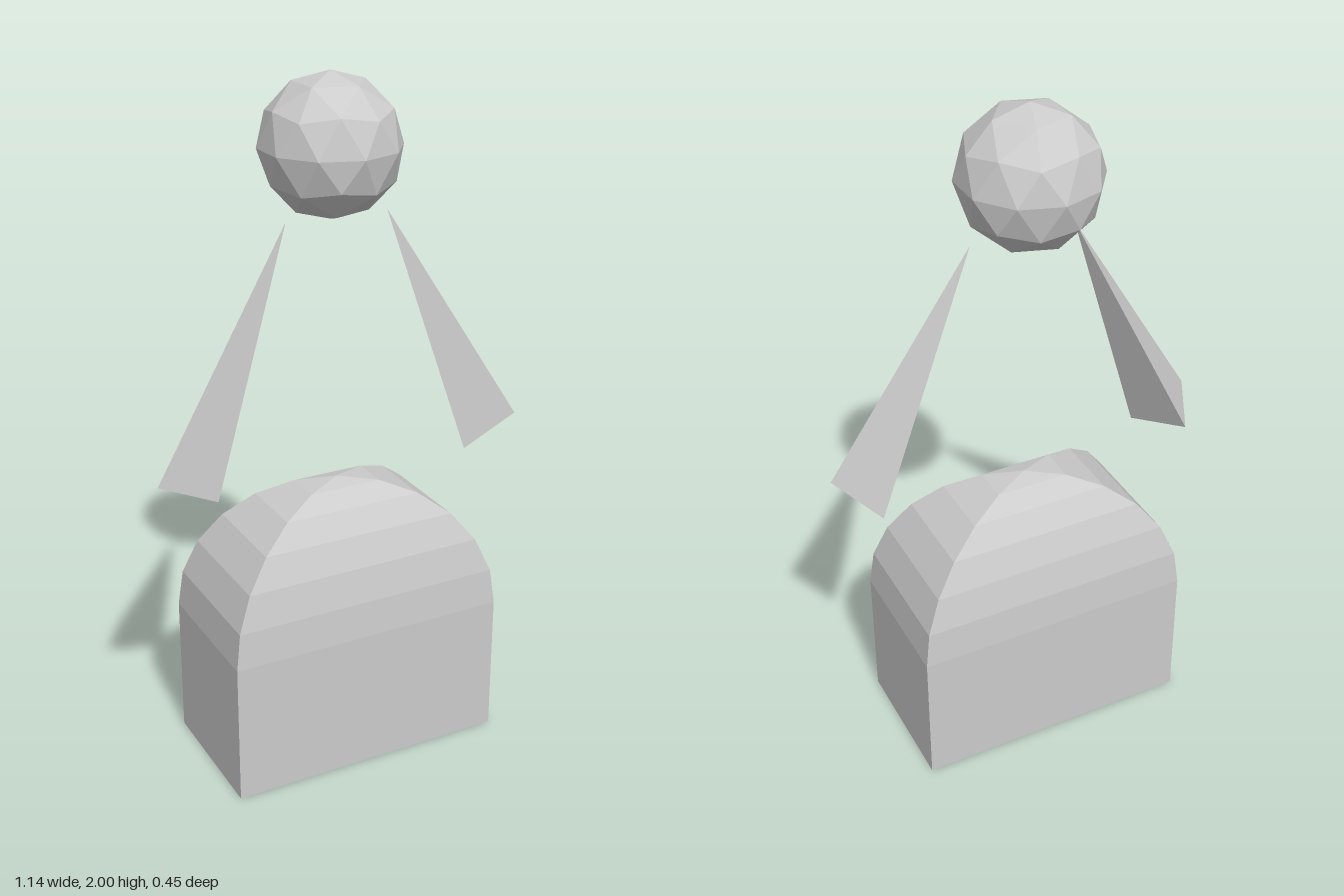
import * as THREE from 'three';

const material = new THREE.MeshStandardMaterial({ color: 0xcccccc, flatShading: true });

function part(name, geometry) {
  const mesh = new THREE.Mesh(geometry, material);
  mesh.name = name;
  return mesh;
}

// Faceted ball with a vertex at each pole
function makeHead() {
  const golden = (1 + Math.sqrt(5)) / 2;
  const geometry = new THREE.IcosahedronGeometry(0.2, 1);
  geometry.rotateX(-Math.atan(golden)).rotateY(Math.PI / 2);
  const head = part('head', geometry);
  head.position.set(0, 1.8, -0.025);
  return head;
}

// Block whose four walls curve inward to a single peak
function makeBody() {
  const half = 0.421, halfDepth = 0.2145, spring = 0.425, steps = 6;
  const profile = [new THREE.Vector2(0, 0), new THREE.Vector2(Math.SQRT2, 0)];
  for (let i = 0; i <= steps; i++) {
    const a = (i / steps) * Math.PI / 2;
    const r = i === steps ? 0 : Math.SQRT2 * Math.cos(a);
    profile.push(new THREE.Vector2(r, spring + half * Math.sin(a)));
  }
  const geometry = new THREE.LatheGeometry(profile, 4);
  geometry.rotateY(Math.PI / 4).scale(half, 1, halfDepth);
  const body = part('body', geometry);
  body.position.z = 0.0105;
  return body;
}

// Slender three-sided spike, its tip leaning in towards the head
function makeArm(name, side) {
  const geometry = new THREE.ConeGeometry(0.111, 0.777, 3, 1, false, Math.PI);
  const arm = part(name, geometry);
  arm.position.set(side * 0.318, 1.267, 0.014);
  arm.rotation.z = side * THREE.MathUtils.degToRad(25);
  return arm;
}

export function createModel() {
  const model = new THREE.Group();
  model.name = 'figure';
  model.add(makeHead(), makeBody(), makeArm('leftArm', 1), makeArm('rightArm', -1));
  return model;
}
